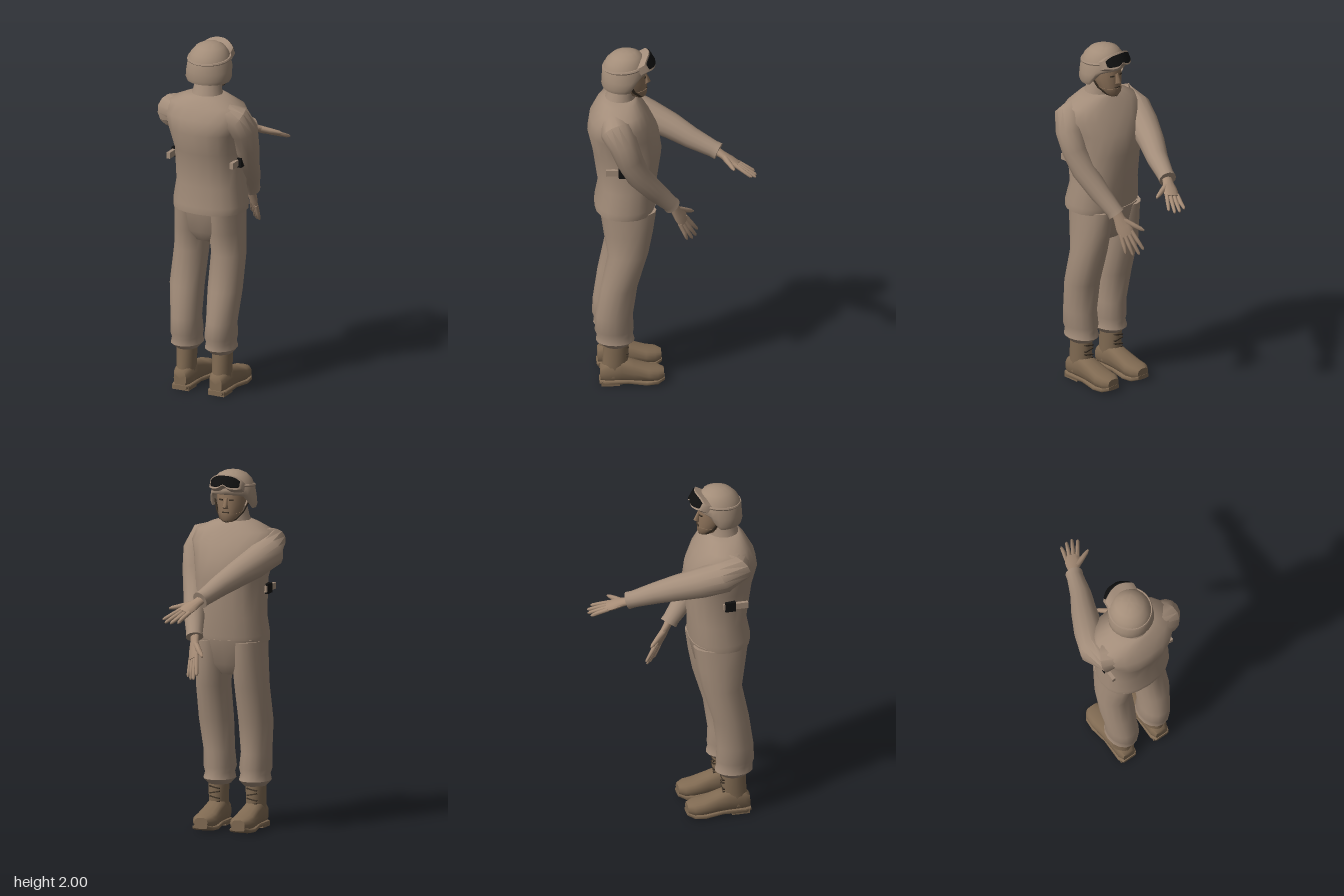
import * as THREE from 'three';
import { toCreasedNormals } from 'three/addons/utils/BufferGeometryUtils.js';

const mat = (name, color, side = THREE.FrontSide) => {
  const m = new THREE.MeshStandardMaterial({ color, side });
  m.name = name;
  return m;
};
const V = (x, y, z) => new THREE.Vector3(x, y, z);
const UP = V(0, 1, 0), X = V(1, 0, 0);

// Skin through rings [x, y, z, halfWidth, halfDepth]. With an axis the rings stay
// parallel, otherwise they follow the path. "round" below 1 squares the section.
function loft(rings, { axis = null, u = X, n = 16, round = 1, openStart = false } = {}) {
  const pos = [], idx = [];
  const pts = rings.map(r => V(r[0], r[1], r[2]));
  const bend = t => Math.sign(t) * Math.pow(Math.abs(t), round);
  rings.forEach((r, j) => {
    const t = axis ? axis.clone()
      : pts[Math.min(j + 1, pts.length - 1)].clone().sub(pts[Math.max(j - 1, 0)]).normalize();
    const a = u.clone().addScaledVector(t, -u.dot(t)).normalize();
    const b = a.clone().cross(t);
    for (let i = 0; i < n; i++) {
      const w = (i / n) * Math.PI * 2;
      const p = pts[j].clone().addScaledVector(a, bend(Math.cos(w)) * r[3])
        .addScaledVector(b, bend(Math.sin(w)) * (r[4] ?? r[3]));
      pos.push(p.x, p.y, p.z);
    }
  });
  for (let j = 0; j < rings.length - 1; j++) {
    for (let i = 0; i < n; i++) {
      const k = (i + 1) % n, a = j * n + i, b = j * n + k;
      idx.push(a, a + n, b, b, a + n, b + n);
    }
  }
  const first = pos.length / 3, top = (rings.length - 1) * n;
  [pts[0], pts[pts.length - 1]].forEach(p => pos.push(p.x, p.y, p.z));
  for (let i = 0; i < n; i++) {
    const k = (i + 1) % n;
    if (!openStart) idx.push(first, i, k);
    idx.push(first + 1, top + k, top + i);
  }
  const g = new THREE.BufferGeometry();
  g.setAttribute('position', new THREE.Float32BufferAttribute(pos, 3));
  g.setIndex(idx);
  return g;
}

// Move every vertex by a rule
function warp(g, rule) {
  const p = g.attributes.position, v = V(0, 0, 0);
  for (let i = 0; i < p.count; i++) {
    v.fromBufferAttribute(p, i);
    rule(v);
    p.setXYZ(i, v.x, v.y, v.z);
  }
  g.computeVertexNormals();
  return g;
}

export function createModel() {
  const cloth = mat('uniform cloth', 0xa38d7a);
  const shell = mat('helmet cover', 0xa38d79, THREE.DoubleSide);
  const skin = mat('face skin', 0x8a7058);
  const handSkin = mat('hand skin', 0xa58b75);
  const leather = mat('boot leather', 0x806a52);
  const dark = mat('dark trim', 0x3f3428);
  const black = mat('black', 0x101010);
  const model = new THREE.Group();
  model.name = 'standingSoldier';

  const add = (name, geo, material, parent = model, crease = 0.9) => {
    const m = new THREE.Mesh(toCreasedNormals(geo, crease), material);
    m.name = name;
    parent.add(m);
    return m;
  };
  const box = (name, size, at, material, parent = model) => {
    const m = add(name, new THREE.BoxGeometry(...size), material, parent);
    m.position.set(...at);
    return m;
  };

  // Jacket and collar
  add('jacket', loft([
    [0.01, 1.05, 0.265, 0.21, 0.165], [0.01, 1.09, 0.262, 0.212, 0.17], [0.005, 1.2, 0.25, 0.195, 0.16],
    [0.005, 1.4, 0.25, 0.198, 0.19], [0, 1.52, 0.273, 0.22, 0.196], [0, 1.6, 0.287, 0.243, 0.168],
    [0, 1.665, 0.288, 0.22, 0.13], [0, 1.705, 0.29, 0.13, 0.1], [0, 1.72, 0.288, 0.085, 0.085],
  ], { axis: UP, n: 20, round: 0.88 }), cloth);
  add('collar', loft([[0, 1.69, 0.29, 0.098, 0.095], [0, 1.74, 0.285, 0.08, 0.077], [0, 1.8, 0.275, 0.07, 0.07]],
    { axis: UP }), cloth);

  // Trousers: hips, two legs with gathered cuffs
  add('hips', loft([[0, 0.87, 0.255, 0.08, 0.09], [0, 0.93, 0.255, 0.17, 0.13], [0.003, 1.07, 0.25, 0.195, 0.158]],
    { axis: UP, n: 20, round: 0.85 }), cloth);
  for (const s of [-1, 1]) {
    const side = s < 0 ? 'right' : 'left', o = s * 0.105;
    add(side + 'TrouserLeg', loft([
      [o, 0.235, 0.32, 0.062, 0.07], [o, 0.265, 0.322, 0.088, 0.107], [o, 0.3, 0.325, 0.08, 0.1],
      [o, 0.33, 0.328, 0.089, 0.108], [s * 0.11, 0.42, 0.328, 0.084, 0.103], [s * 0.117, 0.6, 0.302, 0.096, 0.102],
      [s * 0.114, 0.8, 0.252, 0.095, 0.112], [s * 0.105, 0.93, 0.25, 0.095, 0.136], [s * 0.1, 1.06, 0.25, 0.095, 0.155],
    ], { axis: UP }), cloth);

    // Boot: shaft, foot, sole, heel and laces
    const boot = new THREE.Group();
    boot.name = side + 'Boot';
    boot.position.x = s * 0.11;
    model.add(boot);
    add('bootShaft', loft([[0, 0.05, 0.335, 0.053, 0.07], [0, 0.14, 0.322, 0.053, 0.07], [0, 0.27, 0.318, 0.057, 0.068]],
      { axis: UP }), leather, boot);
    const along = V(0, 0, -1);
    add('bootFoot', loft([
      [0, 0.065, 0.405, 0.038, 0.045], [0, 0.075, 0.375, 0.053, 0.06], [0, 0.085, 0.29, 0.056, 0.07],
      [0, 0.072, 0.22, 0.059, 0.057], [0, 0.056, 0.14, 0.066, 0.044], [0, 0.053, 0.09, 0.062, 0.04],
      [0, 0.052, 0.055, 0.038, 0.028],
    ], { axis: along, round: 0.75 }), leather, boot);
    add('bootSole', loft([
      [0, 0.02, 0.41, 0.042, 0.012], [0, 0.02, 0.38, 0.058, 0.016], [0, 0.022, 0.25, 0.055, 0.014],
      [0, 0.014, 0.15, 0.069, 0.014], [0, 0.018, 0.09, 0.065, 0.014], [0, 0.03, 0.052, 0.038, 0.012],
    ], { axis: along, round: 0.5 }), leather, boot);
    box('bootHeel', [0.1, 0.03, 0.1], [0, 0.015, 0.35], leather, boot);
    for (let i = 0; i < 4; i++) {
      const lace = box('lace', [0.06, 0.007, 0.014], [0, 0.135 + i * 0.028, 0.259 - i * 0.001], dark, boot);
      lace.rotation.z = i % 2 ? 0.2 : -0.2;
    }

    // Side strap with buckle
    box(side + 'Strap', [0.02, 0.035, 0.14], [s * 0.195, 1.345, 0.31], cloth);
    box(side + 'Buckle', [0.04, 0.055, 0.06], [s * 0.195 + 0.005, 1.345, 0.28], black);
  }

  // Sleeves with cuffs
  const sleeve = (name, rings) => {
    add(name, loft(rings, { u: V(0.3, 0.9, 0.1), n: 14 }), cloth);
  };
  sleeve('rightSleeve', [
    [-0.12, 1.6, 0.33, 0.08], [-0.195, 1.59, 0.312, 0.094], [-0.215, 1.55, 0.235, 0.092], [-0.175, 1.505, 0.12, 0.085],
    [-0.122, 1.46, 0, 0.073], [-0.065, 1.41, -0.11, 0.06], [-0.02, 1.362, -0.225, 0.047], [-0.008, 1.35, -0.255, 0.049],
  ]);
  sleeve('leftSleeve', [
    [0.12, 1.62, 0.33, 0.075], [0.19, 1.595, 0.318, 0.092], [0.22, 1.53, 0.285, 0.083], [0.217, 1.43, 0.25, 0.075],
    [0.2, 1.32, 0.2, 0.068], [0.168, 1.2, 0.1, 0.058], [0.137, 1.115, 0.025, 0.046], [0.13, 1.095, 0.01, 0.049],
  ]);

  // Hand: flat palm, four spread fingers and a thumb on the side given
  const hand = (name, wrist, tip, thumbSide) => {
    const g = new THREE.Group();
    g.name = name;
    model.add(g);
    const d = tip.clone().sub(wrist).normalize();
    const s = thumbSide.clone().addScaledVector(d, -thumbSide.dot(d)).normalize();
    const at = (along, across) => wrist.clone().addScaledVector(d, along).addScaledVector(s, across).toArray();
    add('palm', loft([
      [...at(-0.04, 0), 0.028, 0.025], [...at(0.02, 0), 0.031, 0.02], [...at(0.075, 0.003), 0.045, 0.02],
      [...at(0.125, 0), 0.042, 0.015],
    ], { axis: d, u: s, n: 12 }), handSkin, g);
    for (let i = 0; i < 4; i++) {
      const a = (i - 1.5) * 0.021, len = [0.215, 0.24, 0.25, 0.235][i];
      add('finger', loft([[...at(0.11, a), 0.012], [...at(0.17, a * 1.25), 0.0115], [...at(len - 0.01, a * 1.5), 0.009],
        [...at(len, a * 1.55), 0.004]], { u: s, n: 8 }), handSkin, g);
    }
    add('thumb', loft([[...at(0.04, 0.015), 0.018], [...at(0.085, 0.052), 0.015], [...at(0.125, 0.085), 0.011],
      [...at(0.14, 0.097), 0.005]], { u: d.clone().cross(s), n: 8 }), handSkin, g);
  };
  hand('rightHand', V(-0.004, 1.345, -0.257), V(0.105, 1.245, -0.46), V(0.85, 0.15, 0.3));
  hand('leftHand', V(0.127, 1.09, 0.005), V(0.095, 0.875, -0.115), V(-0.7, 0.2, -0.55));

  // Head: face, nose, eyes, beard and chin strap
  add('face', loft([
    [0, 1.722, 0.182, 0.025, 0.026], [0, 1.74, 0.195, 0.05, 0.05], [0, 1.775, 0.215, 0.066, 0.072],
    [0, 1.82, 0.232, 0.077, 0.086], [0, 1.86, 0.24, 0.08, 0.092], [0, 1.92, 0.25, 0.08, 0.09],
  ], { axis: UP }), skin);
  add('nose', loft([[0, 1.796, 0.147, 0.015, 0.012], [0, 1.806, 0.137, 0.016, 0.018], [0, 1.855, 0.15, 0.008, 0.008]],
    { axis: UP, n: 8 }), skin);
  add('beard', loft([[0, 1.72, 0.18, 0.028, 0.028], [0, 1.738, 0.193, 0.053, 0.052], [0, 1.77, 0.211, 0.067, 0.071]],
    { axis: UP }), skin);
  box('mouth', [0.04, 0.006, 0.008], [0, 1.776, 0.143], dark);
  for (const s of [-1, 1]) {
    box('eye', [0.022, 0.008, 0.008], [s * 0.03, 1.845, 0.153], dark).rotation.y = -s * 0.3;
    add('chinStrap', loft([[s * 0.1, 1.83, 0.24, 0.009, 0.004], [s * 0.078, 1.775, 0.215, 0.009, 0.004],
      [s * 0.045, 1.735, 0.18, 0.009, 0.005], [0, 1.722, 0.155, 0.009, 0.005]], { u: V(0, 0, 1), n: 8 }), dark);
  }

  // Helmet: domed shell, rim raised over the face
  const dome = loft([
    [0, 1.79, 0.272, 0.122, 0.115], [0, 1.81, 0.27, 0.13, 0.122], [0, 1.85, 0.265, 0.128, 0.125],
    [0, 1.9, 0.263, 0.12, 0.123], [0, 1.945, 0.258, 0.105, 0.108], [0, 1.978, 0.253, 0.078, 0.08],
    [0, 1.995, 0.25, 0.042, 0.045], [0, 2, 0.25, 0.012, 0.012],
  ], { axis: UP, n: 24, openStart: true });
  add('helmet', warp(dome, v => {
    const t = THREE.MathUtils.smoothstep(0.25 - v.z, 0, 0.075);
    if (v.y < 1.88) v.y += (1.88 - v.y) * t * 0.9;
  }), shell, model, 1.2);
  const band = add('goggleBand', new THREE.TorusGeometry(1, 0.07, 6, 32), cloth);
  band.scale.set(0.115, 0.118, 0.13);
  band.rotation.x = Math.PI / 2 + 0.1;
  band.position.set(0, 1.916, 0.262);

  // Goggles pushed up on the helmet: frame and lens bent round the front
  const goggles = new THREE.Group();
  goggles.name = 'goggles';
  goggles.position.set(0, 1.947, 0.123);
  goggles.rotation.x = 0.5;
  model.add(goggles);
  const visor = (w, h, d) => warp(new THREE.BoxGeometry(w, h, d, 16, 2, 1), v => {
    const t = v.x / (w / 2);
    v.y *= 1 - 0.45 * Math.pow(Math.abs(t), 4);
    if (v.y < 0) v.y *= 1 - 0.45 * Math.exp(-t * t * 22);
    v.z += 5 * v.x * v.x;
  });
  add('goggleFrame', visor(0.19, 0.082, 0.045), cloth, goggles).position.z = 0.008;
  add('goggleLens', visor(0.168, 0.064, 0.009), black, goggles).position.z = -0.016;

  return model;
}
